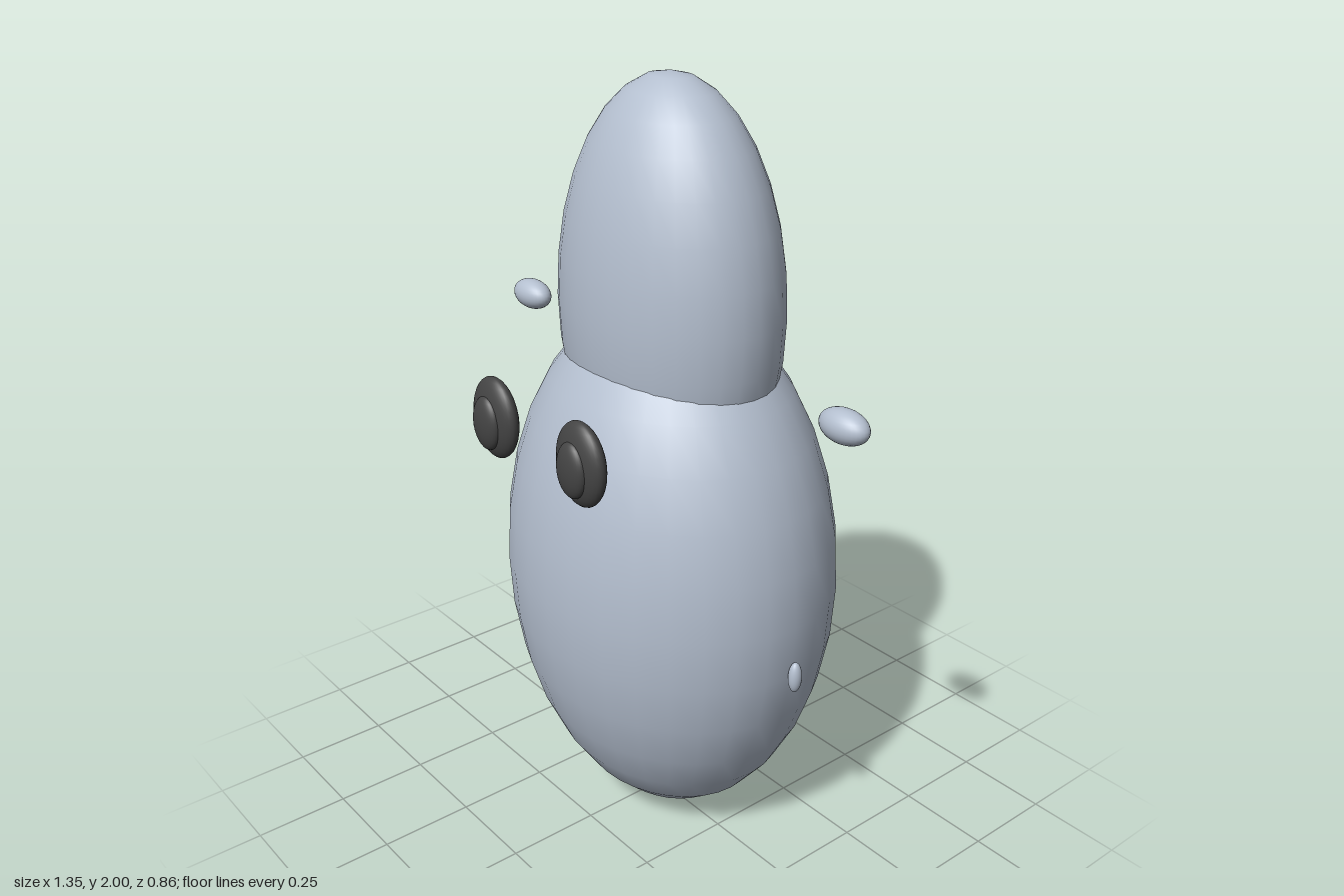
import * as THREE from 'three';

export function createModel() {
  const group = new THREE.Group();
  const paleGrey = new THREE.MeshStandardMaterial({ color: 0xb4bfcf });
  paleGrey.name = 'pale blue grey';
  const charcoal = new THREE.MeshStandardMaterial({ color: 0x444444 });
  charcoal.name = 'charcoal';

  // Smooth ellipsoid from a centre and three radii
  function ellipsoid(name, material, center, radii, segments = 32) {
    const geometry = new THREE.SphereGeometry(1, segments, segments / 2);
    geometry.scale(...radii);
    const mesh = new THREE.Mesh(geometry, material);
    mesh.name = name;
    mesh.position.set(...center);
    group.add(mesh);
  }

  // Body and tall head
  ellipsoid('body', paleGrey, [0, 0.73, -0.03], [0.485, 0.725, 0.4]);
  ellipsoid('head', paleGrey, [0, 1.44, -0.03], [0.33, 0.56, 0.245]);

  // Mirrored features
  for (const [side, s] of [['left', 1], ['right', -1]]) {
    ellipsoid(side + 'Eye', charcoal, [s * 0.177, 1.183, 0.378], [0.087, 0.106, 0.036]);
    ellipsoid(side + 'Pupil', charcoal, [s * 0.177, 1.175, 0.405], [0.051, 0.07, 0.025]);
    ellipsoid(side + 'Ear', paleGrey, [s * 0.605, 1.31, -0.03], [0.07, 0.041, 0.041]);
    ellipsoid(side + 'Hand', paleGrey, [s * 0.49, 0.595, -0.03], [0.017, 0.042, 0.018]);
  }
  return group;
}
